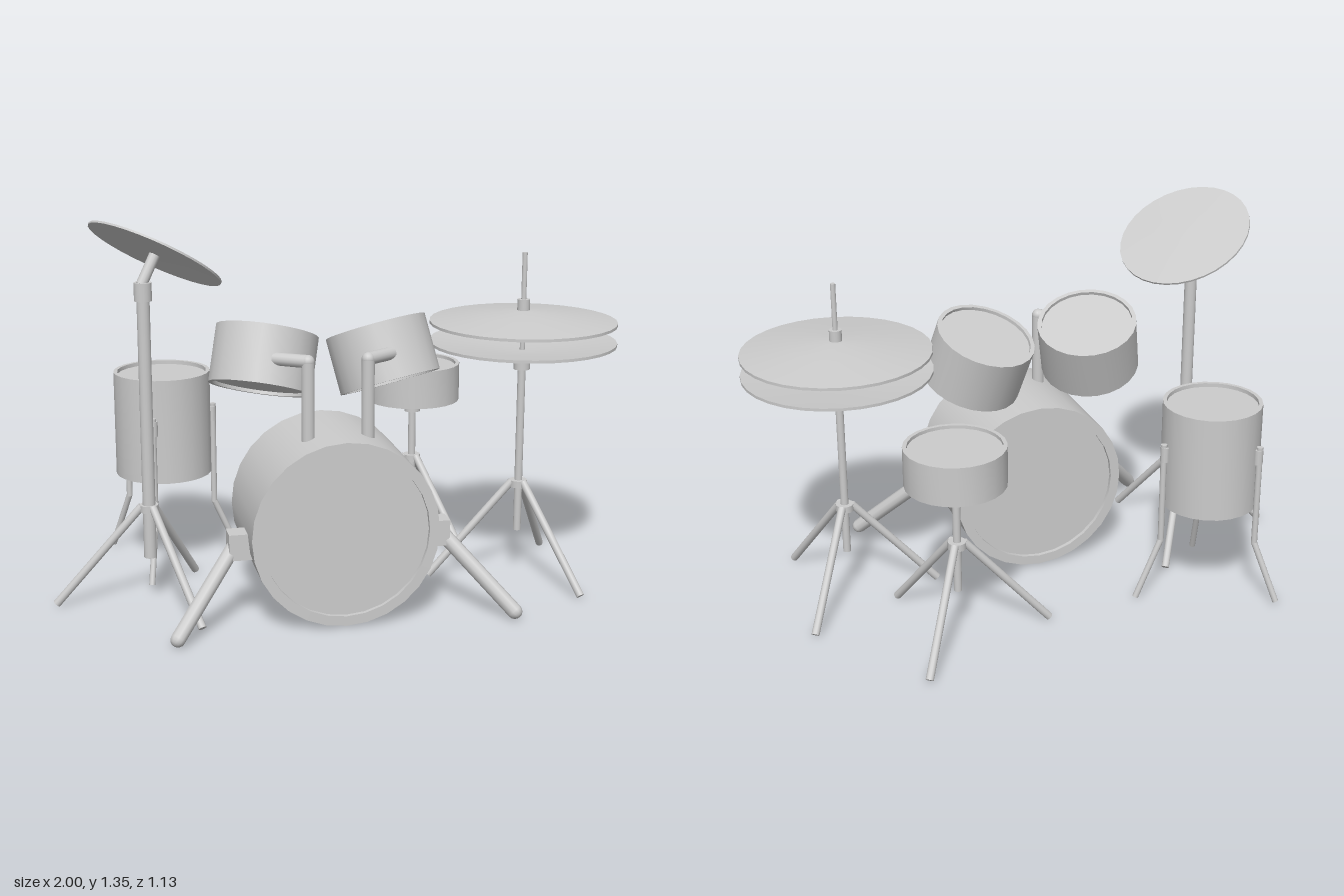
import * as THREE from 'three';
import { toCreasedNormals } from 'three/addons/utils/BufferGeometryUtils.js';

const UP = new THREE.Vector3(0, 1, 0);
const V = (x, y, z) => new THREE.Vector3(x, y, z);

export function createModel() {
  const root = new THREE.Group();
  root.name = 'drumKit';
  const mat = new THREE.MeshStandardMaterial({ color: 0xcccccc, side: THREE.DoubleSide });

  function add(parent, name, geo, pos) {
    const m = new THREE.Mesh(geo, mat);
    m.name = name;
    if (pos) m.position.copy(pos);
    parent.add(m);
    return m;
  }
  function group(name, x = 0, y = 0, z = 0) {
    const g = new THREE.Group();
    g.name = name;
    g.position.set(x, y, z);
    root.add(g);
    return g;
  }
  // Straight round bar between two points
  function rod(parent, name, a, b, r, sides = 12) {
    const d = b.clone().sub(a);
    const m = add(parent, name, new THREE.CylinderGeometry(r, r, d.length(), sides), a.clone().lerp(b, 0.5));
    m.quaternion.setFromUnitVectors(UP, d.normalize());
    return m;
  }
  const post = (parent, name, y0, y1, r) => rod(parent, name, V(0, y0, 0), V(0, y1, 0), r, 16);
  const lathe = (pts, sides) => toCreasedNormals(
    new THREE.LatheGeometry(pts.map(p => new THREE.Vector2(...p)), sides), 0.6);

  // Shell with raised rims and sunken heads, standing on its local y = 0
  const drumGeometry = (r, h, rim, sink, sides = 24) => lathe([
    [0, sink], [r - rim, sink], [r - rim, 0], [r, 0],
    [r, h], [r - rim, h], [r - rim, h - sink], [0, h - sink]], sides);
  // Thin domed disc, rim at local y = 0
  const cymbalGeometry = (r, dome, t, sides = 32) => lathe([
    [0, dome], [r * 0.5, dome * 0.62], [r, 0], [r, t],
    [r * 0.5, dome * 0.62 + t], [r * 0.12, dome * 0.95 + t], [0, dome + t]], sides);

  // Three splayed legs with a hub
  function tripod(parent) {
    post(parent, 'tripodHub', 0.335, 0.36, 0.032);
    for (let i = 0; i < 3; i++) {
      const a = THREE.MathUtils.degToRad(185 + i * 120);
      const c = Math.cos(a), s = Math.sin(a);
      rod(parent, 'tripodLeg', V(c * 0.025, 0.355, s * 0.025), V(c * 0.327, 0.012, s * 0.327), 0.014);
    }
  }

  // Bass drum, lying along z
  const cx = -0.055;
  const bass = group('bassDrum', cx, 0.325, 0.055);
  add(bass, 'bassShell', drumGeometry(0.318, 0.435, 0.034, 0.015, 28)).rotation.x = Math.PI / 2;

  // Mirrored pairs: bass spurs, tom posts and tilted toms
  for (const s of [-1, 1]) {
    const spur = group('bassSpur', cx);
    add(spur, 'spurBracket', new THREE.BoxGeometry(0.08, 0.09, 0.075), V(s * 0.34, 0.278, 0.365));
    const a = V(s * 0.355, 0.275, 0.36), b = V(s * 0.572, 0.03, 0.54), d = b.clone().sub(a);
    const leg = add(spur, 'spurLeg', new THREE.CapsuleGeometry(0.026, d.length(), 4, 10), a.clone().lerp(b, 0.5));
    leg.quaternion.setFromUnitVectors(UP, d.normalize());

    const mount = group('tomMount', cx);
    rod(mount, 'tomPost', V(s * 0.102, 0.6, 0.35), V(s * 0.102, 0.888, 0.35), 0.022, 16);
    add(mount, 'tomElbow', new THREE.SphereGeometry(0.0225, 16, 10), V(s * 0.102, 0.888, 0.35));
    rod(mount, 'tomArm', V(s * 0.102, 0.888, 0.35), V(s * 0.2, 0.886, 0.275), 0.022, 16);

    const tom = group('rackTom', cx + s * 0.23, 0.755, 0.148);
    tom.quaternion.setFromUnitVectors(UP, V(-s * 0.2, 0.925, -0.31).normalize());
    add(tom, 'tomShell', drumGeometry(0.178, 0.2, 0.015, 0.012));
  }

  // Floor tom on three bent legs
  const floorTom = group('floorTom', -0.572, 0, -0.287);
  add(floorTom, 'floorTomShell', drumGeometry(0.175, 0.38, 0.014, 0.014), V(0, 0.355, 0));
  for (const deg of [107, 230, 358]) {
    const a = THREE.MathUtils.degToRad(deg);
    const at = (r, y) => V(Math.cos(a) * r, y, Math.sin(a) * r);
    rod(floorTom, 'legBracket', at(0.181, 0.535), at(0.181, 0.59), 0.016);
    rod(floorTom, 'legUpper', at(0.185, 0.22), at(0.185, 0.6), 0.011);
    rod(floorTom, 'legLower', at(0.185, 0.225), at(0.28, 0.01), 0.011);
  }

  // Snare drum
  const snare = group('snare', 0.375, 0, -0.29);
  add(snare, 'snareShell', drumGeometry(0.175, 0.14, 0.014, 0.012), V(0, 0.58, 0));
  post(snare, 'snareCollar', 0.53, 0.592, 0.03);
  post(snare, 'snarePole', 0.17, 0.54, 0.014);
  tripod(snare);

  // Hi-hat pair
  const hat = group('hiHat', 0.665, 0, 0.115);
  add(hat, 'topCymbal', cymbalGeometry(0.33, 0.038, 0.01), V(0, 0.936, 0));
  add(hat, 'bottomCymbal', cymbalGeometry(0.33, 0.034, 0.01), V(0, 0.874, 0)).rotation.x = Math.PI;
  post(hat, 'clutch', 0.975, 1.022, 0.022);
  post(hat, 'hatRod', 0.75, 1.187, 0.009);
  post(hat, 'hatCollar', 0.77, 0.838, 0.029);
  post(hat, 'hatPole', 0.17, 0.78, 0.014);
  tripod(hat);

  // Crash cymbal on a tilted arm
  const crash = group('crashCymbal', -0.67, 0, 0.125);
  post(crash, 'crashPole', 0.17, 1.08, 0.022);
  post(crash, 'crashCollar', 1.07, 1.132, 0.03);
  const n = V(0.45, 0.854, -0.26).normalize();
  const centre = V(0.045, 1.218, -0.026);
  rod(crash, 'crashArm', centre.clone().addScaledVector(n, -0.11), centre, 0.019);
  add(crash, 'crashDisc', cymbalGeometry(0.24, 0.008, 0.007), centre)
    .quaternion.setFromUnitVectors(UP, n);
  tripod(crash);

  return root;
}
